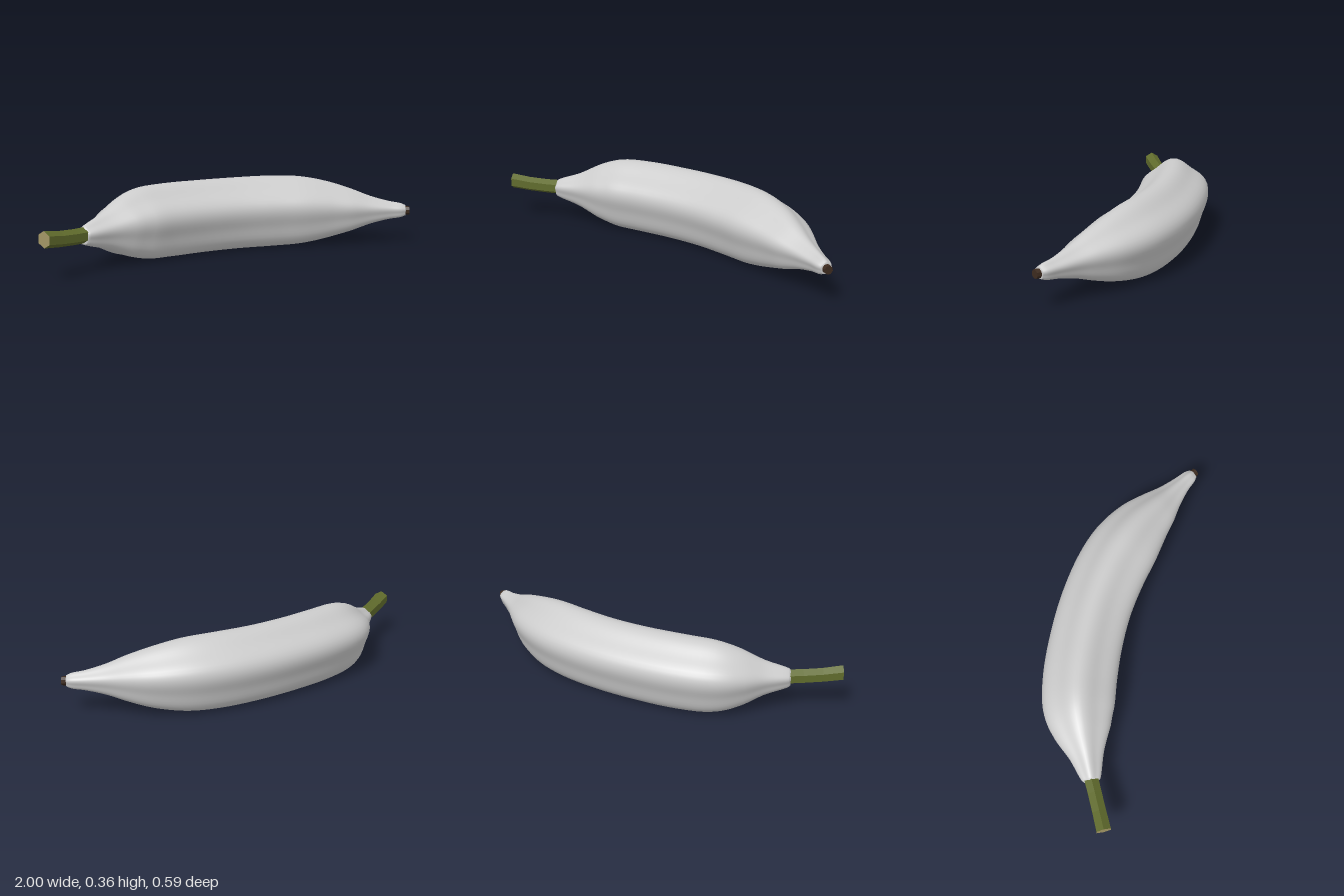
import * as THREE from 'three';

const UP = new THREE.Vector3(0, 1, 0);

// Skin upright cross-sections along a path; rings hold a centre, a heading and a radius.
function loft(rings, sides, ridge = 0, offset = 0) {
  const positions = [], index = [];
  rings.forEach(({ center, heading, radius }) => {
    const side = heading.clone().cross(UP).normalize();
    for (let j = 0; j < sides; j++) {
      const a = offset + (j / sides) * Math.PI * 2;
      const r = radius * (1 + ridge * Math.cos(5 * (a - Math.PI / 2)));
      const p = center.clone().addScaledVector(side, r * Math.cos(a)).addScaledVector(UP, r * Math.sin(a));
      positions.push(p.x, p.y, p.z);
    }
  });
  for (let i = 0; i < rings.length - 1; i++) {
    for (let j = 0; j < sides; j++) {
      const k = (j + 1) % sides;
      const a = i * sides + j, b = a + sides, c = (i + 1) * sides + k, d = i * sides + k;
      index.push(a, b, d, b, c, d);
    }
  }
  const geometry = new THREE.BufferGeometry();
  geometry.setAttribute('position', new THREE.Float32BufferAttribute(positions, 3));
  geometry.setIndex(index);
  geometry.computeVertexNormals();
  return geometry;
}

function part(name, geometry, color, flatShading) {
  const mesh = new THREE.Mesh(geometry, new THREE.MeshStandardMaterial({ color, flatShading }));
  mesh.name = name;
  return mesh;
}

export function createModel() {
  const group = new THREE.Group();
  group.name = 'banana';

  // Peel: x, z and radius along the bend, with a softly five-ridged section
  const stations = [
    [-0.77, 0.133, 0.038], [-0.76, 0.128, 0.046], [-0.66, 0.073, 0.083], [-0.55, 0.012, 0.14],
    [-0.45, -0.035, 0.17], [-0.3, -0.077, 0.178], [-0.1, -0.108, 0.178], [0.1, -0.119, 0.178],
    [0.3, -0.105, 0.178], [0.45, -0.075, 0.171], [0.58, -0.035, 0.147], [0.7, 0.018, 0.11],
    [0.8, 0.062, 0.071], [0.89, 0.102, 0.046], [0.945, 0.129, 0.036], [0.967, 0.14, 0.026],
  ];
  const bend = new THREE.CatmullRomCurve3(stations.map(([x, z, r]) => new THREE.Vector3(x, r, z)));
  const rings = [];
  for (let i = 0; i <= 75; i++) {
    const p = bend.getPoint(i / 75), t = bend.getTangent(i / 75);
    rings.push({
      center: new THREE.Vector3(p.x, 0.171, p.z),
      heading: new THREE.Vector3(t.x, 0, t.z),
      radius: p.y,
    });
  }
  // close both ends
  rings.unshift({ ...rings[0], radius: 0.001 });
  rings.push({ ...rings[rings.length - 1], radius: 0.001 });
  group.add(part('peel', loft(rings, 60, 0.06), 0xcccccc, false));

  // Stem: six-sided, rising slightly to its cut end
  const heading = new THREE.Vector3(-0.85, 0, 0.52);
  const stemRings = [
    [-0.75, 0.175, 0.122, 0.039], [-0.82, 0.178, 0.165, 0.038],
    [-0.9, 0.185, 0.213, 0.038], [-0.982, 0.198, 0.262, 0.04],
  ].map(([x, y, z, radius]) => ({ center: new THREE.Vector3(x, y, z), heading, radius }));
  group.add(part('stem', loft(stemRings, 6, 0, Math.PI / 6), 0x606b2c, true));

  // Cut face of the stem
  const end = stemRings[3];
  const cutFace = loft([end, { ...end, radius: 0.0005 }], 6, 0, Math.PI / 6);
  group.add(part('stemCut', cutFace, 0xa39665, true));

  // Dark blossom tip
  const tip = part('blossomTip', new THREE.CylinderGeometry(0.021, 0.023, 0.034, 8), 0x3d2b1f, true);
  tip.quaternion.setFromUnitVectors(UP, new THREE.Vector3(0.87, 0, 0.5).normalize());
  tip.position.set(0.971, 0.171, 0.142);
  group.add(tip);

  return group;
}
